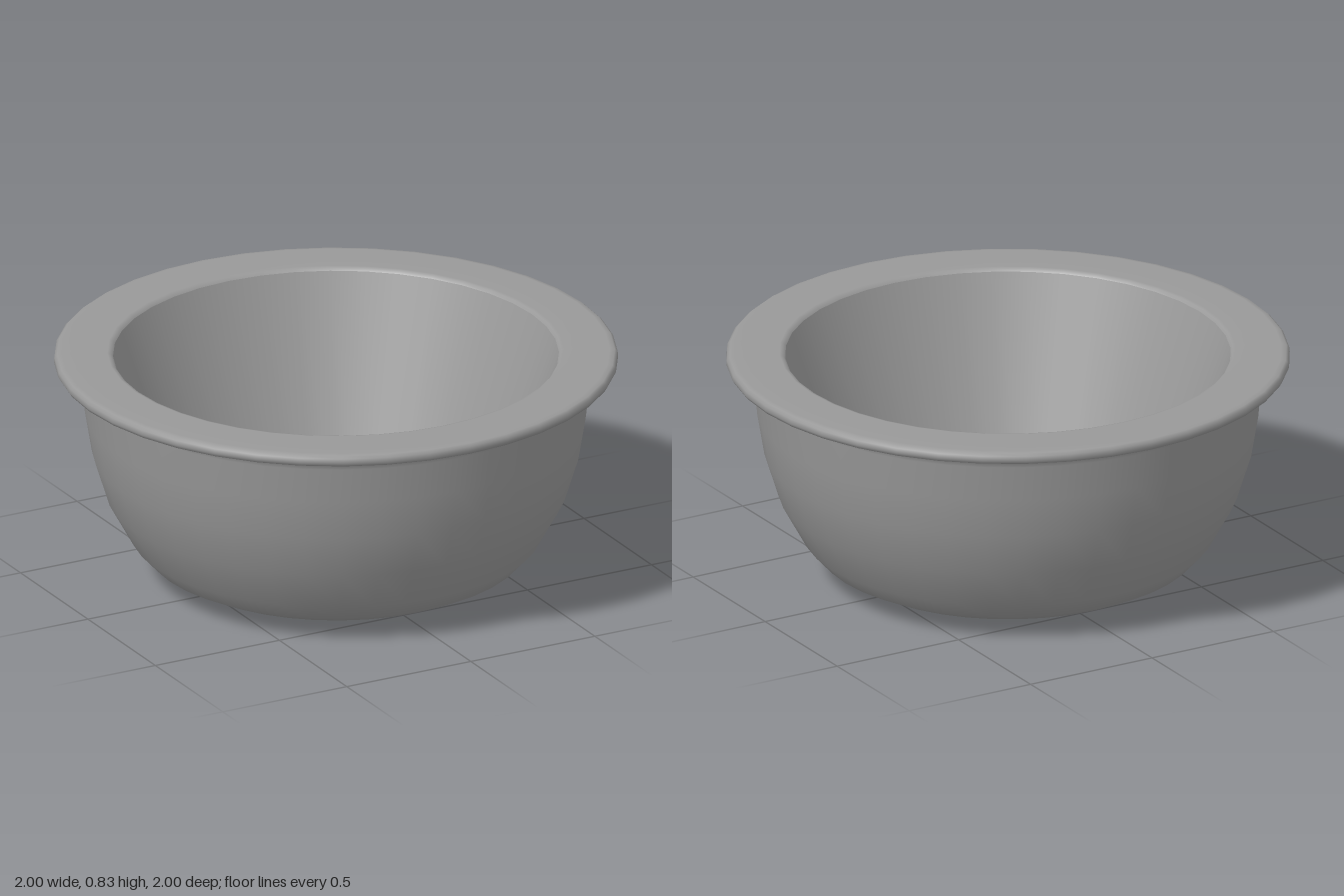
import * as THREE from 'three';

const SEGMENTS = 40;

export function createModel() {
  const bowl = new THREE.Group();
  bowl.name = 'bowl';
  const grey = new THREE.MeshStandardMaterial({ color: 0x999999 });
  grey.name = 'grey';

  // Each part is a revolved profile of [radius, height]; separate parts meet in a crease
  const revolve = (name, profile) => {
    const points = profile.map(([r, y]) => new THREE.Vector2(r, y));
    const mesh = new THREE.Mesh(new THREE.LatheGeometry(points, SEGMENTS), grey);
    mesh.name = name;
    bowl.add(mesh);
  };

  // Flat foot and rounded outside wall
  revolve('outerWall', [
    [0, 0], [0.31, 0.005], [0.59, 0.04], [0.67, 0.08], [0.73, 0.145], [0.815, 0.3],
    [0.865, 0.46], [0.89, 0.61], [0.902, 0.74], [0.91, 0.768], [0.93, 0.783],
  ]);

  // Wide rolled rim with a soft outer edge and a small bevel inside
  revolve('rim', [
    [0.93, 0.783], [0.975, 0.785], [0.992, 0.79], [1, 0.803], [0.998, 0.82],
    [0.988, 0.829], [0.97, 0.832], [0.81, 0.832], [0.798, 0.829], [0.79, 0.82],
  ]);

  // Straight tapered inside wall
  revolve('innerWall', [[0.79, 0.82], [0.53, 0.1]]);

  // Flat inside floor
  revolve('floor', [[0.53, 0.1], [0, 0.1]]);

  return bowl;
}
